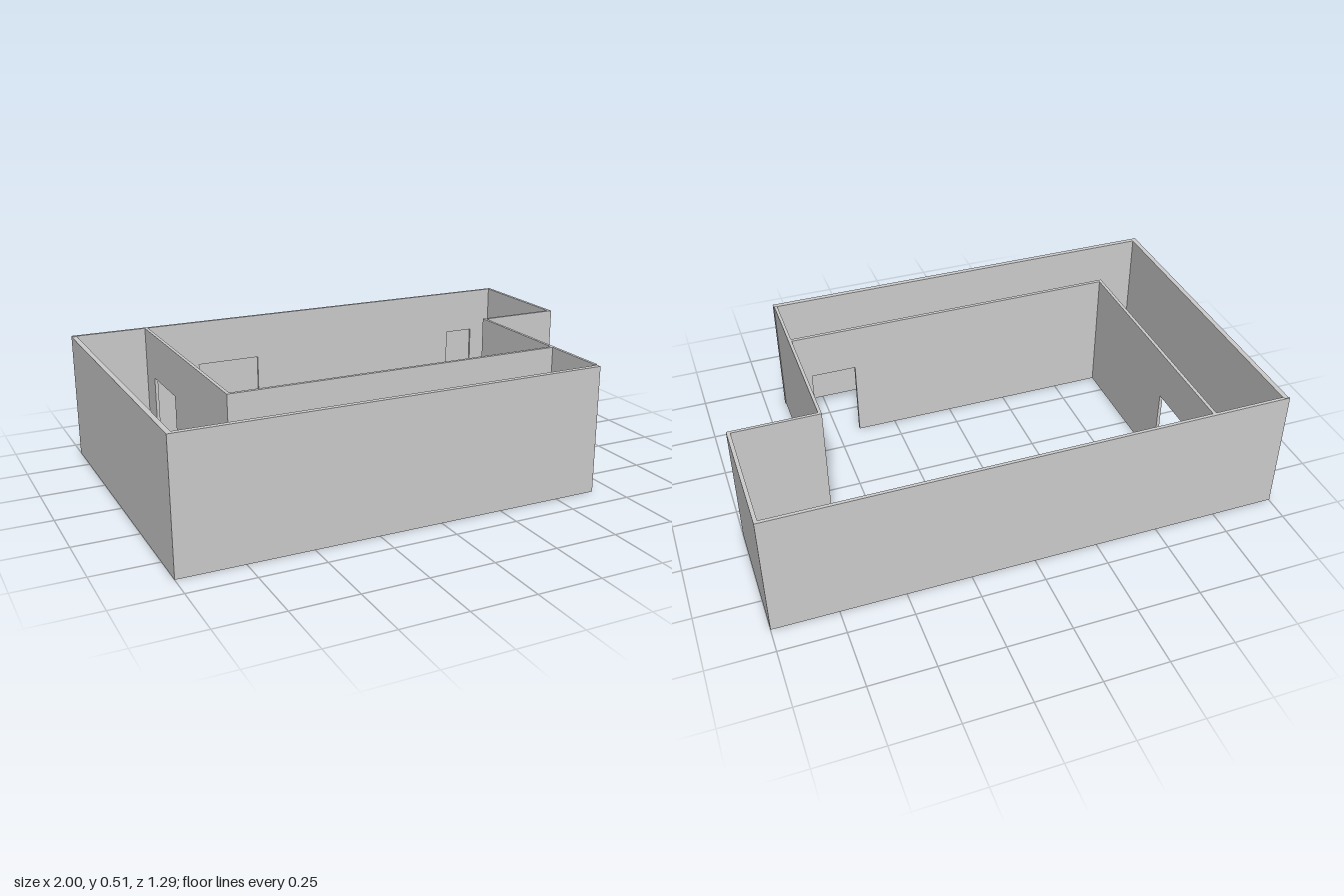
import * as THREE from 'three';

const material = new THREE.MeshStandardMaterial({ color: 0xcccccc, flatShading: true });
const DOOR = 0.32; // door head height

// Straight wall between x0..x1 and z0..z1; doors are [start, end] along its long side.
function wall(name, [x0, x1], [z0, z1], [y0, y1], doors = []) {
  const alongX = x1 - x0 > z1 - z0;
  const [a, b] = alongX ? [x0, x1] : [z0, z1];
  const shape = new THREE.Shape();
  shape.moveTo(a, y0);
  for (const [d0, d1] of doors) {
    shape.lineTo(d0, y0);
    shape.lineTo(d0, DOOR);
    shape.lineTo(d1, DOOR);
    shape.lineTo(d1, y0);
  }
  shape.lineTo(b, y0);
  shape.lineTo(b, y1);
  shape.lineTo(a, y1);
  shape.closePath();

  const geometry = new THREE.ExtrudeGeometry(shape, {
    depth: alongX ? z1 - z0 : x1 - x0,
    bevelEnabled: false,
  });
  if (alongX) {
    geometry.translate(0, 0, z0);
  } else {
    // Long axis to z, thickness to x
    geometry.rotateY(-Math.PI / 2);
    geometry.translate(x1, 0, 0);
  }
  const mesh = new THREE.Mesh(geometry, material);
  mesh.name = name;
  return mesh;
}

export function createModel() {
  const group = new THREE.Group();
  group.name = 'walledFloorPlan';
  const low = [0, 0.503];
  const high = [0.004, 0.507];

  group.add(
    // Outer shell
    wall('frontOuterWall', [-1, 0.667], [0.625, 0.645], low),
    wall('rightOuterWall', [-1, -0.98], [-0.645, 0.625], low),
    wall('backOuterWall', [-1, 1], [-0.65, -0.645], high),
    wall('leftOuterWall', [0.653, 0.665], [-0.142, 0.625], high),

    // Alcove in the back left corner
    wall('alcoveFrontWall', [0.653, 1], [-0.154, -0.142], high),
    wall('alcoveSideWall', [0.986, 1], [-0.645, -0.154], high),

    // Inner lining of the back wall with two blind doorways
    wall('backWallLining', [-0.98, 0.986], [-0.645, -0.637], [0, 0.507],
      [[-0.47, -0.2], [0.76, 0.89]]),

    // Inner walls with doorways onto the corridor
    wall('corridorFrontWall', [-0.698, 0.653], [0.346, 0.36], [0, 0.507], [[0.406, 0.586]]),
    wall('corridorSideWall', [-0.698, -0.685], [-0.637, 0.346], [0, 0.507], [[-0.53, -0.255]]),

    // Low stub partition beside the side doorway
    wall('stubPartition', [-0.583, -0.569], [-0.637, -0.53], [0, DOOR]),
  );
  return group;
}
